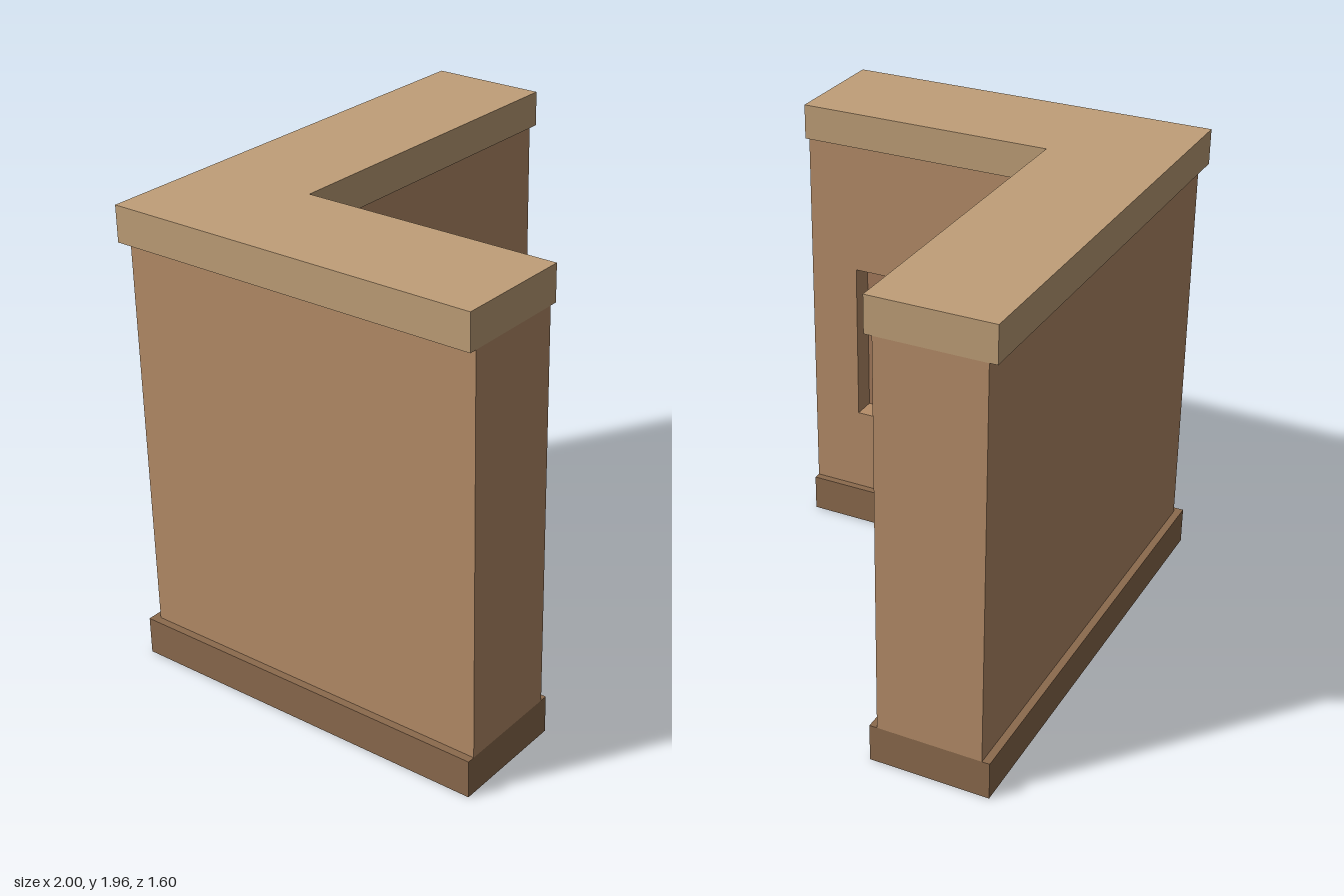
import * as THREE from 'three';

const mat = (color) => new THREE.MeshStandardMaterial({ color, flatShading: true });
const wallMat = mat(0xb58d68);
const nicheMat = mat(0xa57b5c);
const capMat = mat(0xc09f78);
const baseMat = mat(0x8b6a4d);

function named(name, geometry, material) {
  const mesh = new THREE.Mesh(geometry, material);
  mesh.name = name;
  return mesh;
}

// Rectangles are [left, bottom, right, top], corners counterclockwise
const corners = ([l, b, r, t]) => [[l, b], [r, b], [r, t], [l, t]].map(([x, y]) => new THREE.Vector2(x, y));

// Flat rectangle facing +z with an optional rectangular opening
function plate(rect, hole, z = 0) {
  const shape = new THREE.Shape(corners(rect));
  if (hole) shape.holes.push(new THREE.Path(corners(hole).reverse()));
  return new THREE.ShapeGeometry(shape).translate(0, 0, z);
}

// Four inward-facing sides of an opening, from depth z0 back to z1
function reveal(rect, z0, z1) {
  const c = corners(rect);
  const pos = [];
  c.forEach((a, i) => {
    const b = c[(i + 1) % 4];
    pos.push(a.x, a.y, z0, b.x, b.y, z0, b.x, b.y, z1, a.x, a.y, z0, b.x, b.y, z1, a.x, a.y, z1);
  });
  const g = new THREE.BufferGeometry();
  g.setAttribute('position', new THREE.Float32BufferAttribute(pos, 3));
  g.computeVertexNormals();
  return g;
}

// L-shaped outline as [x, z]; the inset applies everywhere but the two open ends
const outline = (inset) => [
  [-1 + inset, 0.8], [-0.497 - inset, 0.8], [-0.497 - inset, -0.298 - inset],
  [1, -0.298 - inset], [1, -0.8 + inset], [-1 + inset, -0.8 + inset],
];

function slab(name, y0, y1, material) {
  const shape = new THREE.Shape(outline(0).map(([x, z]) => new THREE.Vector2(x, -z)));
  const g = new THREE.ExtrudeGeometry(shape, { depth: y1 - y0, bevelEnabled: false });
  return named(name, g.rotateX(-Math.PI / 2).translate(0, y0, 0), material);
}

export function createModel() {
  const model = new THREE.Group();
  model.name = 'cornerWall';
  const y0 = 0.16, y1 = 1.807;
  const step = 0.1, deep = 0.3;

  model.add(slab('base', 0, y0, baseMat), slab('coping', y1, 1.955, capMat));

  // Stepped niches on the two inner faces, measured along each face
  const niches = {
    1: { outer: [0.215, 0.535, 0.89, 1.235], inner: [0.32, 0.64, 0.785, 1.13] },
    2: { outer: [0.255, 0.615, 1.075, 1.355], inner: [0.363, 0.725, 0.973, 1.25] },
  };
  const names = ['leftWingEnd', 'leftWingInnerFace', 'backWingInnerFace', 'backWingEnd', 'backFace', 'leftFace'];

  // One wall face per outline edge
  const pts = outline(0.032);
  pts.forEach(([x, z], i) => {
    const [nx, nz] = pts[(i + 1) % pts.length];
    const length = Math.hypot(nx - x, nz - z);
    const niche = niches[i];
    const face = new THREE.Group();
    face.name = names[i];
    face.position.set(x, 0, z);
    face.rotation.y = Math.atan2(z - nz, nx - x);
    face.add(named('wallPanel', plate([0, y0, length, y1], niche?.outer), wallMat));
    if (niche) {
      face.add(
        named('nicheOuterReveal', reveal(niche.outer, 0, -step), wallMat),
        named('nicheFrame', plate(niche.outer, niche.inner, -step), nicheMat),
        named('nicheInnerReveal', reveal(niche.inner, -step, -deep), nicheMat),
        named('nicheBack', plate(niche.inner, null, -deep), nicheMat),
      );
    }
    model.add(face);
  });
  return model;
}
